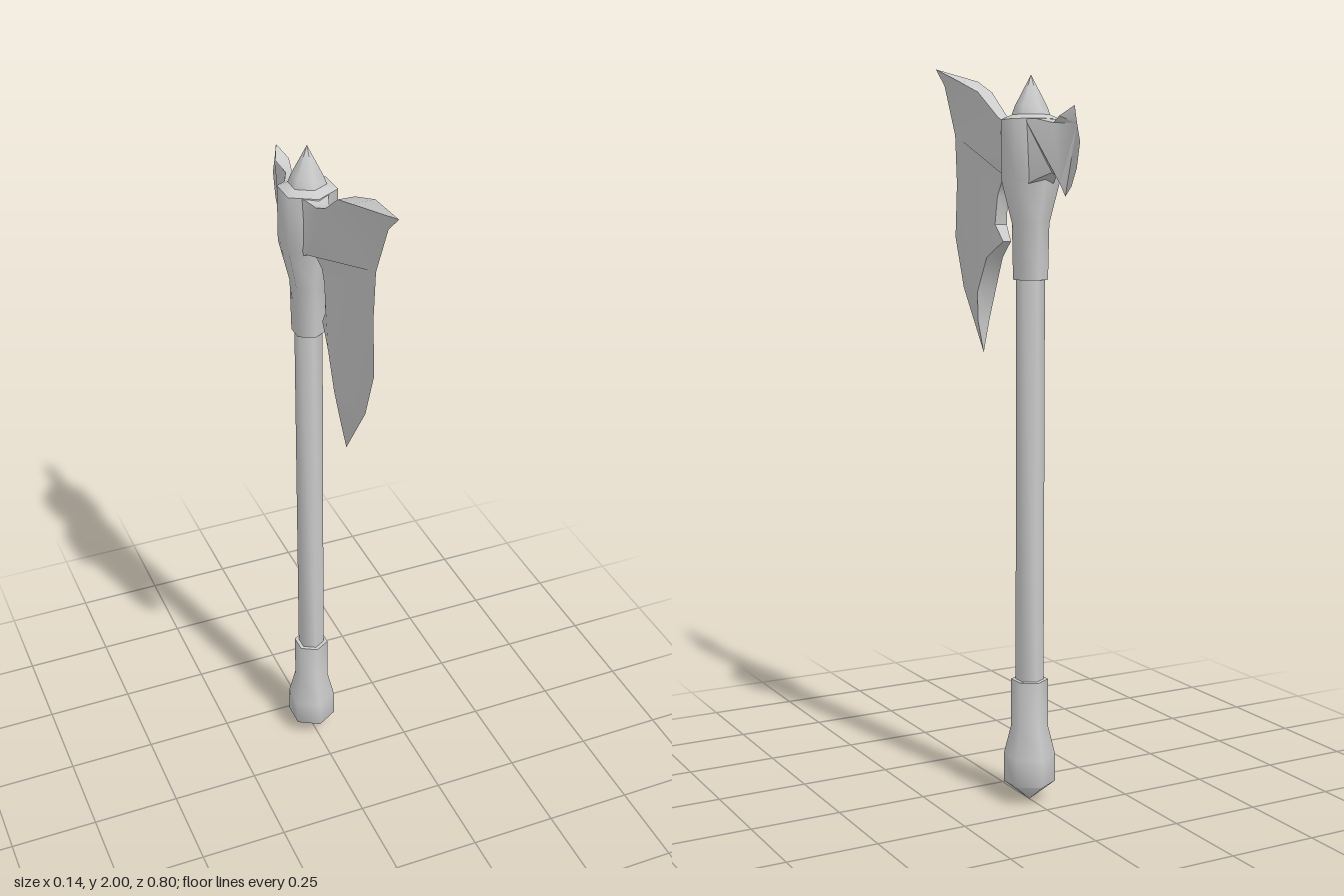
import * as THREE from 'three';
import { toCreasedNormals } from 'three/addons/utils/BufferGeometryUtils.js';

const SHAFT_Z = -0.153;
const material = new THREE.MeshStandardMaterial({ color: 0xcccccc });

function addMesh(group, name, geometry, crease) {
  const mesh = new THREE.Mesh(toCreasedNormals(geometry, crease), material);
  mesh.name = name;
  group.add(mesh);
  return mesh;
}

// Six-sided turned part around the shaft axis; profile is [radius, y] from bottom to top
function addTurned(group, name, profile) {
  const geometry = new THREE.LatheGeometry(profile.map(([r, y]) => new THREE.Vector2(r, y)), 6);
  addMesh(group, name, geometry, 1.1).position.z = SHAFT_Z;
}

// Blade from an outline of [z, y, halfThickness]; zero thickness makes a sharp edge
function addBlade(group, name, outline) {
  const flat = outline.map(([z, y]) => new THREE.Vector2(z, y));
  if (THREE.ShapeUtils.isClockWise(flat)) {
    flat.reverse();
    outline = [...outline].reverse();
  }
  const n = outline.length;
  const positions = [];
  for (const side of [-1, 1]) {
    for (const [z, y, t] of outline) positions.push(side * t, y, z);
  }
  const index = [];
  // Two mirrored cheeks
  for (const [a, b, c] of THREE.ShapeUtils.triangulateShape(flat, [])) {
    index.push(a, b, c, c + n, b + n, a + n);
  }
  // Rim where the outline has thickness
  for (let a = 0; a < n; a++) {
    const b = (a + 1) % n;
    if (outline[a][2] > 0) index.push(b, a, a + n);
    if (outline[b][2] > 0) index.push(b, a + n, b + n);
  }
  const geometry = new THREE.BufferGeometry();
  geometry.setAttribute('position', new THREE.Float32BufferAttribute(positions, 3));
  geometry.setIndex(index);
  addMesh(group, name, geometry, 0.7);
}

export function createModel() {
  const axe = new THREE.Group();
  axe.name = 'battleAxe';

  addTurned(axe, 'pommel', [
    [0, 0], [0.07, 0.052], [0.07, 0.13], [0.05, 0.21], [0.05, 0.34], [0.036, 0.34],
  ]);
  addTurned(axe, 'shaft', [[0.038, 0.3], [0.038, 1.46]]);
  addTurned(axe, 'headSocket', [
    [0.036, 1.423], [0.046, 1.423], [0.049, 1.57], [0.078, 1.685], [0.078, 1.838], [0.05, 1.85],
  ]);
  addTurned(axe, 'topSpike', [[0.052, 1.845], [0.042, 1.872], [0, 1.952]]);

  addBlade(axe, 'mainBlade', [
    // top edge, from the socket to the upper point
    [-0.11, 1.838, 0.045], [-0.085, 1.835, 0.03], [-0.05, 1.83, 0.018], [0, 1.85, 0.015],
    [0.1, 1.92, 0.022], [0.2, 1.955, 0.031],
    // cutting edge
    [0.4, 2, 0], [0.345, 1.95, 0], [0.28, 1.81, 0], [0.27, 1.675, 0],
    [0.28, 1.525, 0], [0.23, 1.385, 0], [0.11, 1.21, 0],
    // beard and notch, back to the socket
    [0.11, 1.3, 0.018], [0.093, 1.38, 0.028], [0.045, 1.475, 0.025], [-0.025, 1.52, 0.012],
    [0.01, 1.565, 0.018], [0, 1.64, 0.016], [-0.02, 1.675, 0.015],
    [-0.055, 1.695, 0.018], [-0.085, 1.685, 0.03], [-0.11, 1.67, 0.04],
  ]);

  addBlade(axe, 'rearBlade', [
    // top edge
    [-0.2, 1.838, 0.045], [-0.23, 1.837, 0.03], [-0.283, 1.825, 0.009], [-0.33, 1.84, 0.019],
    // cutting edge
    [-0.373, 1.865, 0], [-0.385, 1.82, 0], [-0.4, 1.775, 0],
    [-0.385, 1.71, 0], [-0.36, 1.665, 0], [-0.33, 1.64, 0],
    // hooked underside
    [-0.326, 1.67, 0.013], [-0.31, 1.69, 0.015], [-0.278, 1.7, 0.009],
    [-0.235, 1.685, 0.027], [-0.2, 1.67, 0.04],
  ]);

  return axe;
}
